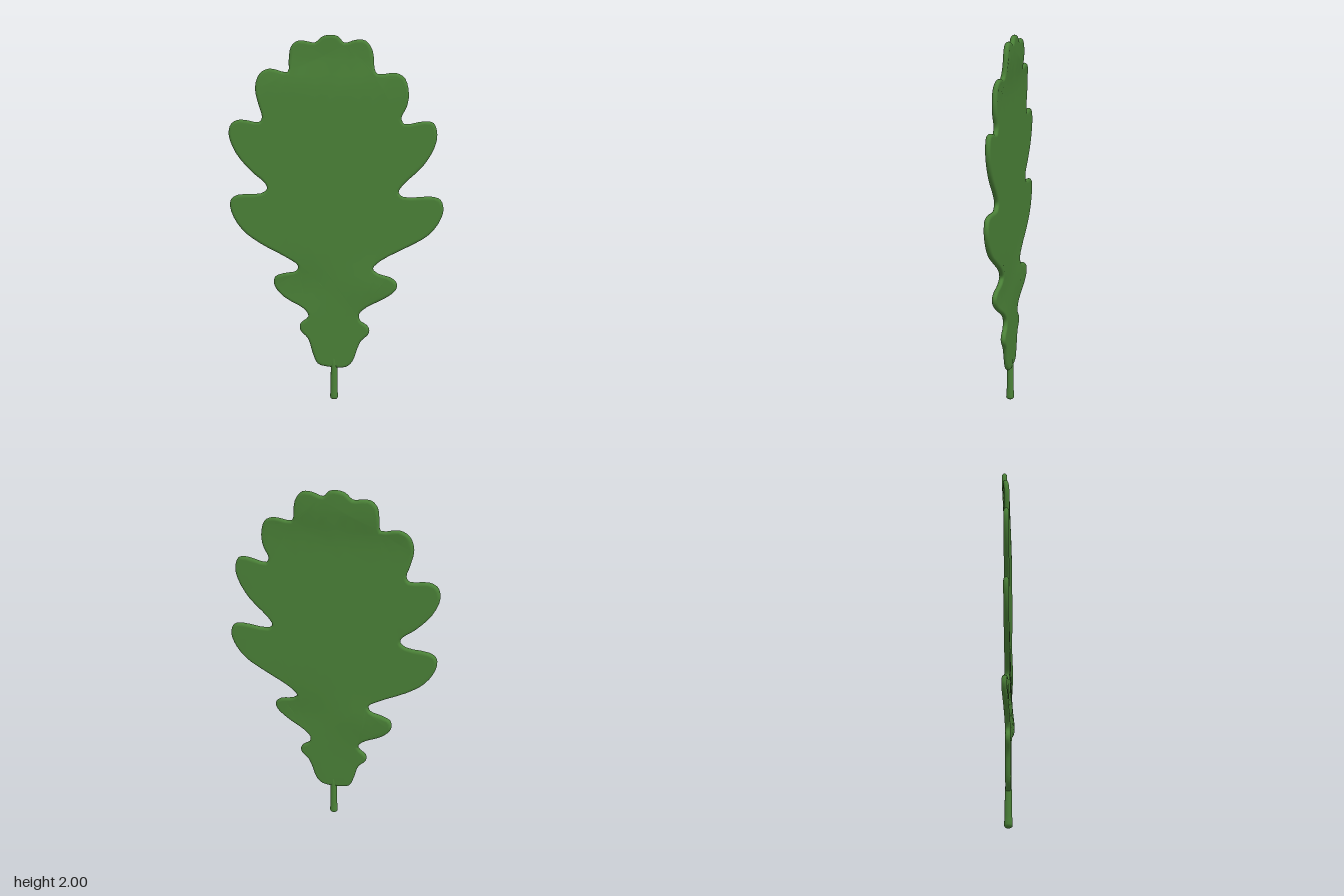
import * as THREE from 'three';
import { mergeVertices } from 'three/addons/utils/BufferGeometryUtils.js';

// Lobed outline, right edge from the stem up to the tip
const rightEdge = [
  [0.05, 0.188], [0.087, 0.22], [0.114, 0.294], [0.135, 0.341], [0.172, 0.378], [0.18, 0.405],
  [0.167, 0.431], [0.13, 0.458], [0.124, 0.495], [0.167, 0.537], [0.262, 0.59], [0.32, 0.638],
  [0.328, 0.675], [0.299, 0.706], [0.225, 0.728], [0.198, 0.754], [0.241, 0.8], [0.378, 0.876],
  [0.484, 0.939], [0.542, 1.008], [0.569, 1.082], [0.553, 1.14], [0.505, 1.156], [0.357, 1.151],
  [0.331, 1.177], [0.357, 1.22], [0.458, 1.32], [0.516, 1.42], [0.529, 1.489], [0.51, 1.548],
  [0.463, 1.558], [0.357, 1.542], [0.341, 1.574], [0.368, 1.632], [0.378, 1.701], [0.357, 1.78],
  [0.31, 1.807], [0.214, 1.801], [0.198, 1.828], [0.188, 1.918], [0.151, 1.971], [0.098, 1.975],
  [0.04, 1.96], [0.008, 1.992], [-0.034, 2.0],
];
// Left edge from the tip down to the stem
const leftEdge = [
  [-0.077, 1.99], [-0.114, 1.96], [-0.167, 1.968], [-0.209, 1.966], [-0.241, 1.934], [-0.251, 1.87],
  [-0.257, 1.807], [-0.352, 1.823], [-0.405, 1.796], [-0.429, 1.722], [-0.41, 1.627], [-0.394, 1.569],
  [-0.41, 1.542], [-0.511, 1.553], [-0.558, 1.532], [-0.574, 1.474], [-0.537, 1.373], [-0.452, 1.272],
  [-0.384, 1.214], [-0.373, 1.182], [-0.405, 1.156], [-0.532, 1.145], [-0.569, 1.119], [-0.569, 1.056],
  [-0.511, 0.955], [-0.415, 0.881], [-0.267, 0.802], [-0.209, 0.759], [-0.22, 0.728], [-0.288, 0.712],
  [-0.336, 0.69], [-0.341, 0.643], [-0.288, 0.58], [-0.177, 0.516], [-0.153, 0.474], [-0.198, 0.431],
  [-0.198, 0.394], [-0.156, 0.347], [-0.13, 0.262], [-0.103, 0.204], [-0.045, 0.188],
];

// Gentle twist of the blade, stronger at the small lower lobes, with the tip bent back
function bend(x, y) {
  const lowerLobes = Math.exp(-(((y - 0.65) / 0.11) ** 2));
  return x * (0.01 + 0.045 * lowerLobes) - 0.017 * THREE.MathUtils.smoothstep(y, 1.72, 1.9);
}

// Halve the longest edge of each triangle until none is longer than the limit
function subdivide(geometry, limit) {
  const pos = geometry.attributes.position;
  const todo = [];
  const out = [];
  for (let i = 0; i < pos.count; i += 3) {
    todo.push([0, 1, 2].map((k) => new THREE.Vector3().fromBufferAttribute(pos, i + k)));
  }
  while (todo.length) {
    const t = todo.pop();
    const lengths = t.map((p, k) => p.distanceTo(t[(k + 1) % 3]));
    const longest = Math.max(...lengths);
    if (longest <= limit) {
      t.forEach((p) => out.push(p));
      continue;
    }
    const k = lengths.indexOf(longest);
    const a = t[k], b = t[(k + 1) % 3], c = t[(k + 2) % 3];
    const mid = a.clone().add(b).multiplyScalar(0.5);
    todo.push([a, mid, c], [mid, b, c]);
  }
  return new THREE.BufferGeometry().setFromPoints(out);
}

function bladeGeometry() {
  const points = [...rightEdge, ...leftEdge].map(([x, y]) => new THREE.Vector3(x, y, 0));
  const outline = new THREE.CatmullRomCurve3(points, true, 'centripetal').getPoints(points.length * 3);
  outline.pop();
  const shape = new THREE.Shape(outline.map((p) => new THREE.Vector2(p.x, p.y)));
  const solid = new THREE.ExtrudeGeometry(shape, {
    depth: 0.004, bevelEnabled: true, bevelThickness: 0.012, bevelSize: 0.015,
    bevelOffset: -0.015, bevelSegments: 4,
  });
  solid.translate(0, 0, -0.002);
  const fine = mergeVertices(subdivide(solid, 0.1), 1e-5);
  const pos = fine.attributes.position;
  for (let i = 0; i < pos.count; i++) {
    pos.setZ(i, pos.getZ(i) + bend(pos.getX(i), pos.getY(i)));
  }
  fine.computeVertexNormals();
  return fine;
}

export function createModel() {
  const leafGreen = new THREE.MeshStandardMaterial({ color: 0x4a8037 });
  leafGreen.name = 'leaf green';

  const leaf = new THREE.Group();
  leaf.name = 'leaf';

  const blade = new THREE.Mesh(bladeGeometry(), leafGreen);
  blade.name = 'blade';
  leaf.add(blade);

  // Round stem, tapering away inside the blade
  const profile = [[0, 0], [0.014, 0.001], [0.02, 0.006], [0.022, 0.014], [0.021, 0.03], [0.019, 0.06],
    [0.018, 0.19], [0.014, 0.24], [0, 0.3]];
  const stem = new THREE.Mesh(
    new THREE.LatheGeometry(profile.map(([r, y]) => new THREE.Vector2(r, y)), 20), leafGreen);
  stem.name = 'stem';
  stem.position.set(-0.013, 0, 0);
  leaf.add(stem);

  return leaf;
}
